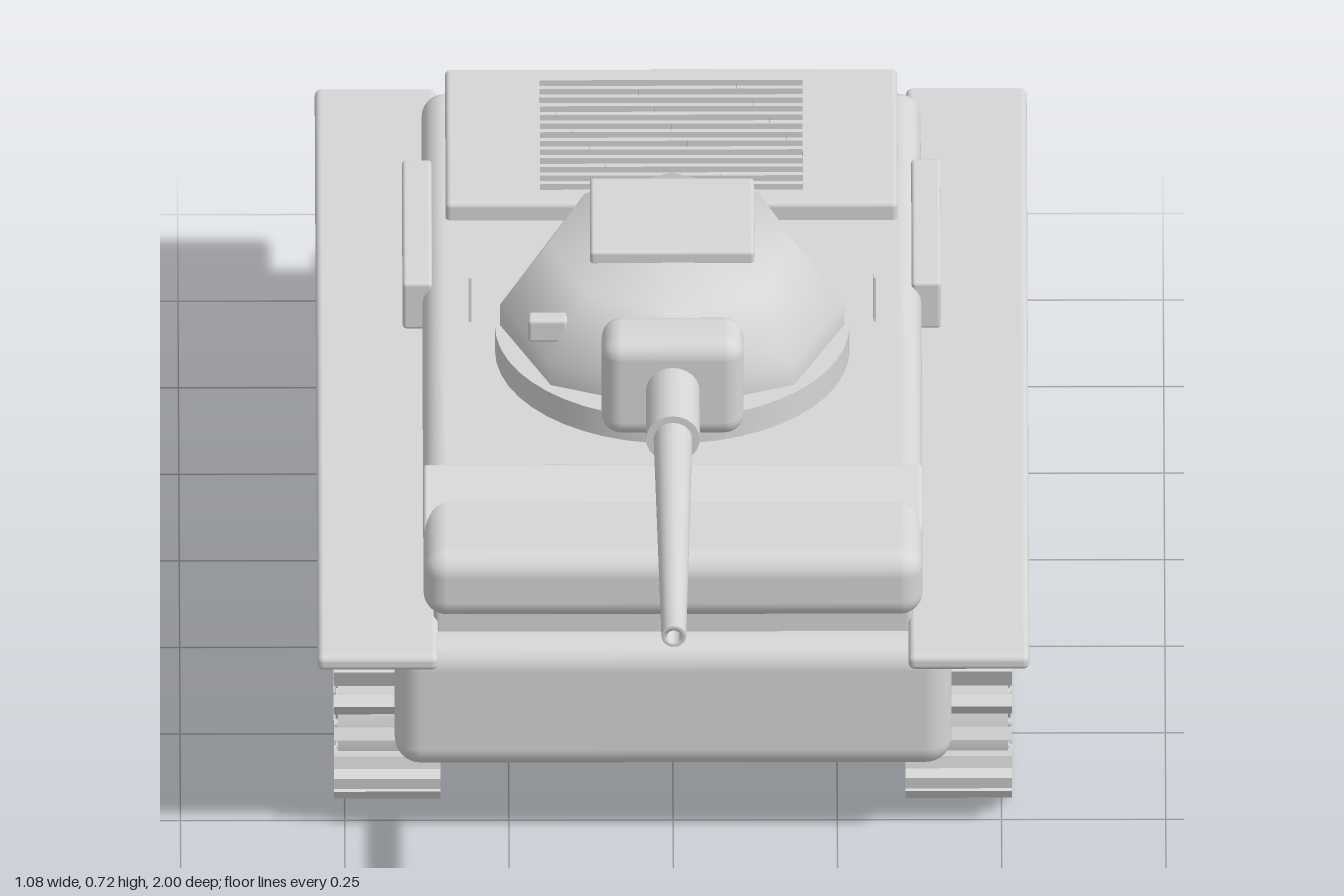
import * as THREE from 'three';
import { mergeVertices } from 'three/addons/utils/BufferGeometryUtils.js';
import { RoundedBoxGeometry } from 'three/addons/geometries/RoundedBoxGeometry.js';

export function createModel() {
  const model = new THREE.Group();
  model.name = 'tank';
  // Double sided for the open grille slats
  const grey = new THREE.MeshStandardMaterial({ color: 0xd6d6d6, side: THREE.DoubleSide });
  grey.name = 'plain grey';

  const add = (name, geometry, x = 0, y = 0, z = 0, parent = model) => {
    const mesh = new THREE.Mesh(geometry, grey);
    mesh.name = name;
    mesh.position.set(x, y, z);
    parent.add(mesh);
    return mesh;
  };
  const box = (w, h, d) => new THREE.BoxGeometry(w, h, d);
  // Rounded block given by its limits on each axis
  const block = (name, x0, x1, y0, y1, z0, z1, r) =>
    add(name, new RoundedBoxGeometry(x1 - x0, y1 - y0, z1 - z0, 4, r),
      (x0 + x1) / 2, (y0 + y1) / 2, (z0 + z1) / 2);

  // Hull, superstructure and engine deck
  block('lowerHull', -0.424, 0.424, 0.133, 0.353, -0.935, 0.587, 0.04);
  block('hullCollar', -0.365, 0.365, 0.34, 0.4, -0.805, 0.535, 0.01);
  block('upperHull', -0.38, 0.38, 0.378, 0.491, -0.82, 0.55, 0.035);
  block('engineDeck', -0.344, 0.344, 0.47, 0.521, -0.822, -0.43, 0.008);
  const guard = block('splashGuard', -0.38, 0.38, 0.448, 0.498, 0.305, 0.425, 0.006);
  guard.rotation.x = 0.5;

  // Engine grille made of thin crossing slats
  const grille = new THREE.Group();
  grille.name = 'engineGrille';
  model.add(grille);
  for (let i = 0; i <= 12; i++)
    add('grilleSlat', new THREE.PlaneGeometry(0.4, 0.01), 0, 0.526, -0.77 + i * 0.025, grille);
  for (let i = 0; i <= 16; i++)
    add('grilleSlat', new THREE.PlaneGeometry(0.3, 0.01), -0.2 + i * 0.025, 0.526, -0.62, grille)
      .rotation.y = Math.PI / 2;

  // Fenders, stowage boxes, side plates and exhausts
  for (const s of [-1, 1]) {
    const span = (a, b) => (s > 0 ? [a, b] : [-b, -a]);
    block('fender', ...span(0.358, 0.542), 0.351, 0.377, -1, 0.648, 0.01);
    block('stowageBox', ...span(0.365, 0.41), 0.41, 0.493, -0.605, -0.245, 0.006);
    add('sidePlate', box(0.004, 0.078, 0.072), s * 0.308, 0.608, -0.047);
    add('exhaust', new THREE.CylinderGeometry(0.014, 0.027, 0.1, 16), s * 0.275, 0.345, -0.915)
      .rotation.x = Math.PI / 2 - 0.25;
  }

  // Turret on its ring: eight sides, longer at the top along z
  add('turretRing', new THREE.CylinderGeometry(0.27, 0.27, 0.05, 48), 0, 0.511, -0.055);
  const rings = [[0.262, 0.525], [0.262, 0.573], [0.188, 0.682], [0, 0.684]];
  let dome = new THREE.LatheGeometry(rings.map(([r, y]) => new THREE.Vector2(r, y)), 8);
  const p = dome.attributes.position;
  for (let i = 0; i < p.count; i++)
    p.setZ(i, p.getZ(i) * (p.getY(i) > 0.6 ? 1.09 : 0.935));
  dome.deleteAttribute('uv');
  dome.deleteAttribute('normal');
  dome = mergeVertices(dome);
  dome.computeVertexNormals();
  add('turret', dome, 0, 0, -0.055);
  block('hatch', -0.125, 0.125, 0.678, 0.703, -0.213, 0.003, 0.006);
  block('sight', -0.22, -0.16, 0.6, 0.64, 0.072, 0.1, 0.006);

  // Gun with a hollow muzzle
  block('mantlet', -0.108, 0.108, 0.544, 0.713, 0.188, 0.29, 0.03);
  add('gunSleeve', new THREE.CylinderGeometry(0.041, 0.041, 0.16, 24), 0, 0.632, 0.35)
    .rotation.x = Math.PI / 2;
  const barrel = [[0.03, 0.4], [0.019, 0.998], [0.018, 1], [0.011, 1], [0.011, 0.96], [0, 0.96]];
  const lathe = new THREE.LatheGeometry(barrel.map(([r, y]) => new THREE.Vector2(r, y)), 20);
  add('gunBarrel', lathe, 0, 0.632, 0).rotation.x = Math.PI / 2;

  // Tracks: six overlapping wheels inside a loop of separate links
  const disc = (r, w, n) => new THREE.CylinderGeometry(r, r, w, n).rotateZ(Math.PI / 2);
  const wheelShape = disc(0.128, 0.15, 32), hubShape = disc(0.035, 0.158, 16);
  const boltShape = disc(0.007, 0.156, 6), linkShape = box(0.162, 0.02, 0.034);
  const mid = -0.184, half = 0.576, cy = 0.15, r = 0.138;
  const arc = Math.PI * r, loop = 4 * half + 2 * arc, links = 68;
  for (const s of [-1, 1]) {
    const track = new THREE.Group();
    track.name = s > 0 ? 'leftTrack' : 'rightTrack';
    track.position.set(s * 0.435, cy, mid);
    model.add(track);
    for (let i = 0; i < 6; i++) {
      const z = -half + (i * 2 * half) / 5;
      add('roadWheel', wheelShape, 0, 0, z, track);
      add('wheelHub', hubShape, 0, 0, z, track);
      for (let k = 0; k < 8; k++) {
        const a = (k * Math.PI) / 4;
        add('wheelBolt', boltShape, 0, 0.08 * Math.sin(a), z + 0.08 * Math.cos(a), track);
      }
    }
    for (let i = 0; i < links; i++) {
      // Distance round the loop: top run, front arc, bottom run, rear arc
      let d = (i / links) * loop;
      const back = d >= loop / 2;
      if (back) d -= loop / 2;
      const sign = back ? -1 : 1;
      const a = Math.max(0, d - 2 * half) / r;
      const z = a > 0 ? half + r * Math.sin(a) : d - half;
      const link = add('trackLink', linkShape, 0, sign * r * Math.cos(a), sign * z, track);
      // Links stand up like teeth round the ends
      link.rotation.x = a > 0 ? a + 1.15 : 0;
    }
  }
  return model;
}
